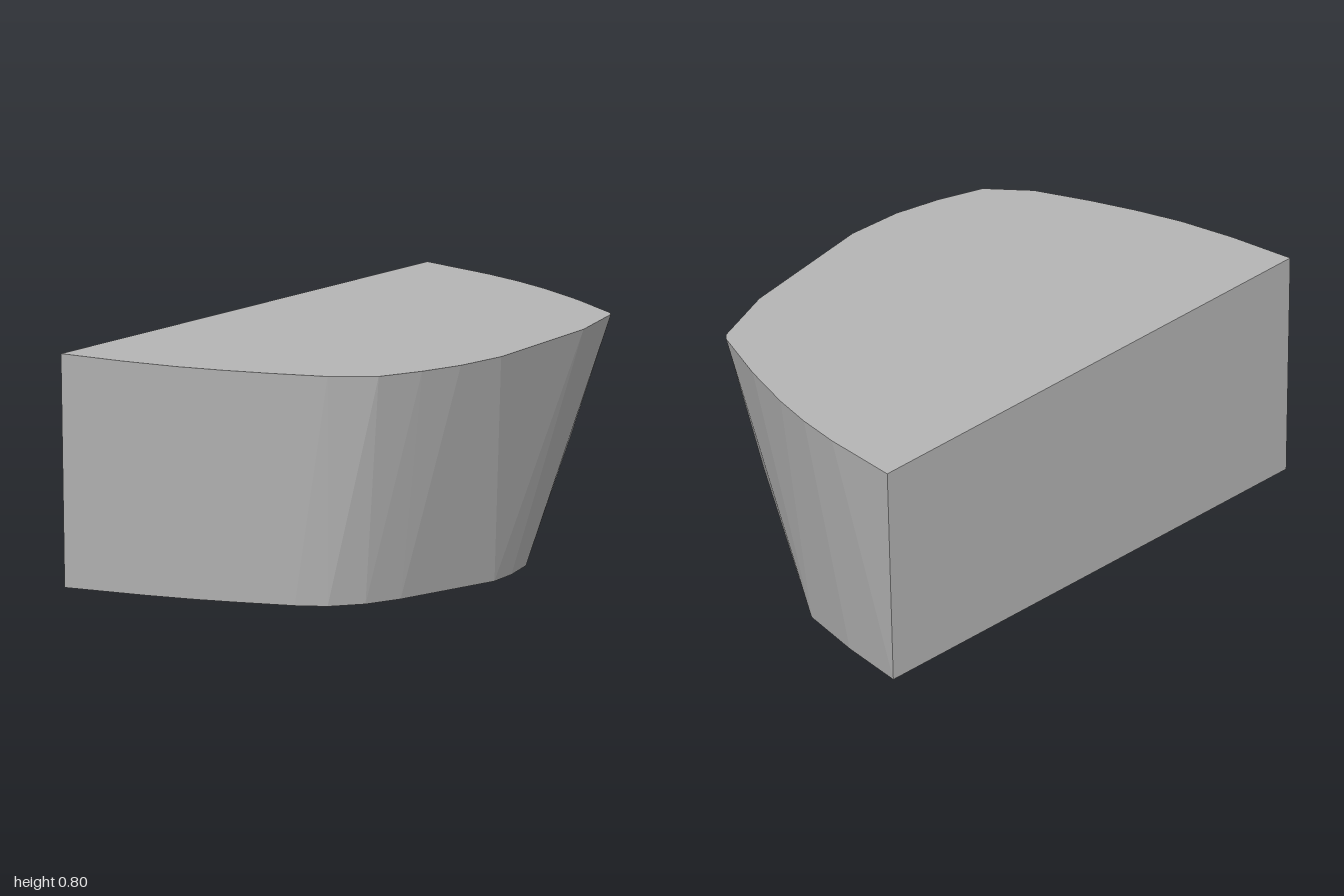
import * as THREE from 'three';
import { ConvexGeometry } from 'three/addons/geometries/ConvexGeometry.js';

// Outlines as [x, z], from the back corner round the curved side to the front corner
const topOutline = [
  [-0.6, -1], [-0.31, -0.957], [-0.15, -0.92], [0, -0.872], [0.2, -0.79], [0.42, -0.68],
  [0.44, -0.66], [0.525, -0.4], [0.562, -0.1], [0.595, 0.14], [0.58, 0.34], [0.54, 0.5],
  [0.48, 0.66], [0.345, 0.765], [0.16, 0.84], [0, 0.895], [-0.16, 0.94], [-0.36, 0.975], [-0.6, 1],
];
const bottomOutline = [
  [-0.6, -0.97], [-0.35, -0.912], [-0.11, -0.838], [0.04, -0.71], [0.33, -0.345], [0.39, -0.26],
  [0.445, -0.11], [0.47, 0.015], [0.41, 0.45], [0.37, 0.59], [0.295, 0.7], [0.2, 0.757],
  [0, 0.832], [-0.13, 0.875], [-0.3, 0.92], [-0.6, 0.98],
];
// Small bulges on the tapering back corner, as [x, y, z]
const cornerPoints = [[0.265, 0.36, -0.665], [0.445, 0.68, -0.555]];

export function createModel() {
  const group = new THREE.Group();
  group.name = 'taperedBlock';
  const grey = new THREE.MeshStandardMaterial({ color: 0xb4b4b4 });
  grey.name = 'grey';

  // Faceted solid: flat back face, rounded side leaning inwards to a smaller base
  const points = [
    ...topOutline.map(([x, z]) => new THREE.Vector3(x, 0.8, z)),
    ...bottomOutline.map(([x, z]) => new THREE.Vector3(x, 0, z)),
    ...cornerPoints.map((p) => new THREE.Vector3(...p)),
  ];
  const block = new THREE.Mesh(new ConvexGeometry(points), grey);
  block.name = 'block';
  group.add(block);
  return group;
}
